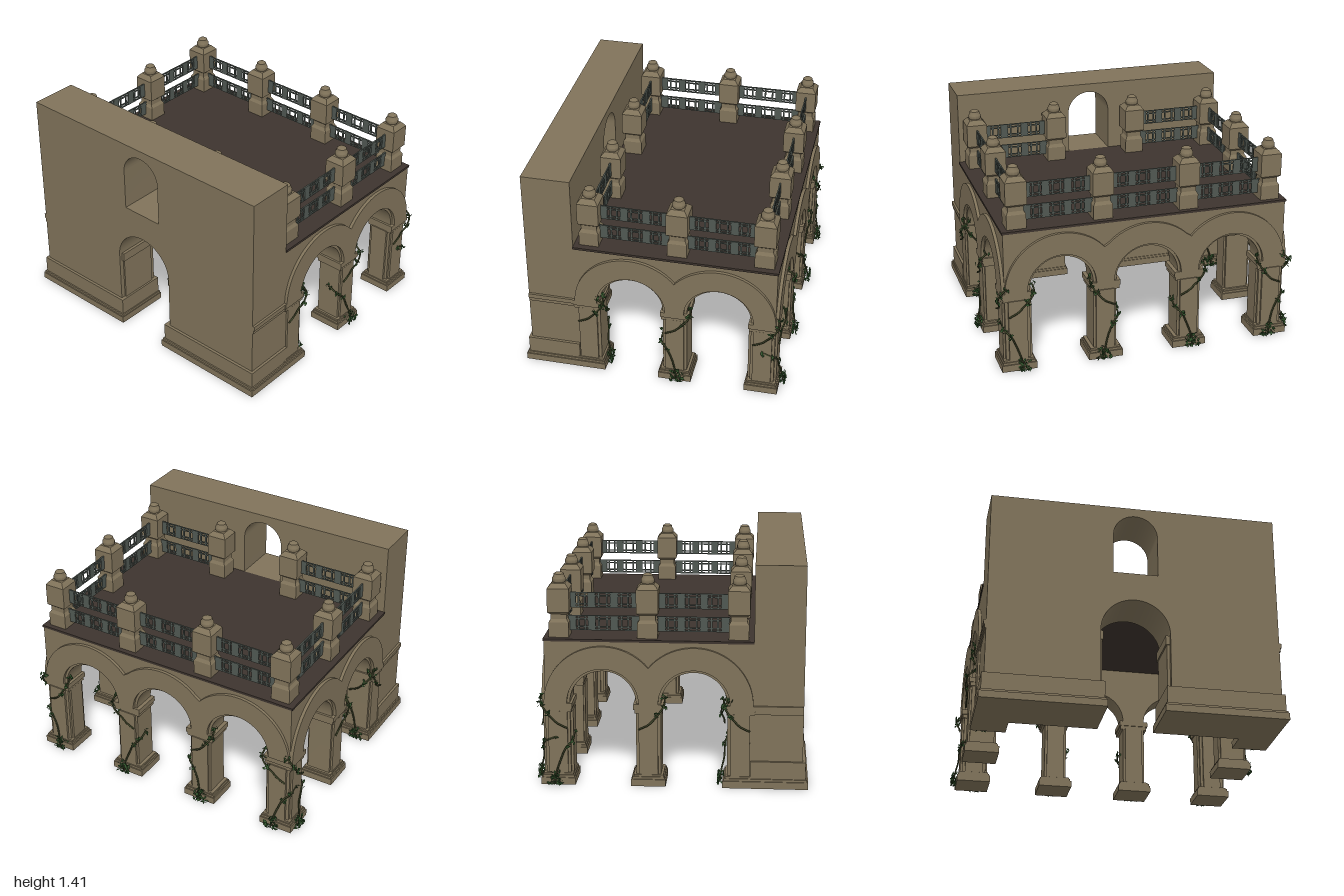
import * as THREE from 'three';
import { mergeGeometries, toCreasedNormals } from 'three/addons/utils/BufferGeometryUtils.js';

const SPRING = 0.53, R_IN = 0.205, R_LIP = 0.222, R_OUT = 0.365, FLOOR = 0.937;

const mat = (name, color) => {
  const m = new THREE.MeshStandardMaterial({ color });
  m.name = name;
  return m;
};

export function createModel() {
  const model = new THREE.Group();
  model.name = 'arcadeTerrace';
  const stone = mat('stone', 0x80735a);
  const floorMat = mat('darkFloor', 0x3d342e);
  const iron = mat('iron', 0x505852);
  const stemMat = mat('vineStem', 0x3f4529);
  const leafMat = mat('leaf', 0x2f5029);
  leafMat.side = THREE.DoubleSide;

  let seed = 7;
  const rnd = () => (seed = (seed * 16807) % 2147483647) / 2147483647;

  const add = (parent, name, geo, material) => {
    const m = new THREE.Mesh(geo, material);
    m.name = name;
    parent.add(m);
    return m;
  };
  // Box given by its limits on each axis
  const box = (x0, x1, y0, y1, z0, z1) =>
    new THREE.BoxGeometry(x1 - x0, y1 - y0, z1 - z0)
      .translate((x0 + x1) / 2, (y0 + y1) / 2, (z0 + z1) / 2);
  // Box centred on a pier
  const block = (x, z, w, d, y0, y1) => box(x - w / 2, x + w / 2, y0, y1, z - d / 2, z + d / 2);
  const extrude = (shape, depth, z) => toCreasedNormals(
    new THREE.ExtrudeGeometry(shape, { depth, bevelEnabled: false, curveSegments: 28 }), 0.6).translate(0, 0, z);

  // Wall outline standing on the ground, with arched openings
  const archedWall = (u0, u1, top, centres, r) => {
    const s = new THREE.Shape();
    s.moveTo(u0, 0);
    for (const c of centres) {
      s.lineTo(c - r, 0);
      s.lineTo(c - r, SPRING);
      s.absarc(c, SPRING, r, Math.PI, 0, true);
      s.lineTo(c + r, 0);
    }
    s.lineTo(u1, 0);
    s.lineTo(u1, top);
    s.lineTo(u0, top);
    s.closePath();
    return s;
  };

  // Raised moulding joining the outer arcs of neighbouring arches
  const moulding = (centres) => {
    const s = new THREE.Shape();
    const a = centres[0] - R_OUT, b = centres[centres.length - 1] + R_OUT;
    s.moveTo(a, SPRING);
    for (const c of centres) {
      s.lineTo(c - R_LIP, SPRING);
      s.absarc(c, SPRING, R_LIP, Math.PI, 0, true);
    }
    s.lineTo(b, SPRING);
    const n = 90;
    for (let i = 1; i < n; i++) {
      const u = (a + b) / 2 + (b - a) / 2 * Math.cos(Math.PI * i / n);
      const h = Math.max(...centres.map(c => R_OUT ** 2 - (u - c) ** 2));
      s.lineTo(u, SPRING + Math.sqrt(Math.max(h, 0)));
    }
    s.closePath();
    return s;
  };

  // Front wall with door and arched window
  const wallShape = archedWall(-0.925, 0.925, 1.412, [0.004], 0.22);
  const win = new THREE.Path();
  win.moveTo(-0.136, FLOOR);
  win.lineTo(0.15, FLOOR);
  win.lineTo(0.15, 1.212);
  win.absarc(0.007, 1.212, 0.143, 0, Math.PI, false);
  win.closePath();
  wallShape.holes.push(win);
  add(model, 'frontWall', extrude(wallShape, 0.31, 0.51), stone);
  for (const s of [-1, 1]) {
    const parts = [
      [0.178, 0.957, 0, 0.045, 0.485, 0.855],
      [0.184, 0.95, 0.045, 0.06, 0.49, 0.847],
      [0.192, 0.942, 0.06, 0.172, 0.495, 0.838],
      [0.205, 0.24, 0.17, 0.47, 0.54, 0.79],
      [0.197, 0.24, 0.47, SPRING, 0.53, 0.8],
      [0.9, 0.933, 0.475, 0.5, 0.5, 0.819],
      [0.9, 0.94, 0.5, SPRING, 0.5, 0.819],
    ].map(([a, b, ...r]) => (s > 0 ? box(a, b, ...r) : box(-b, -a, ...r)));
    add(model, 'wallPlinthAndBands', mergeGeometries(parts), stone);
  }

  // Side and back arcades
  const arcade = (name, centres, u0, u1, face, turn) => {
    const g = new THREE.Group();
    g.name = name;
    g.rotation.y = turn;
    add(g, 'arcadeWall', extrude(archedWall(u0, u1, 0.925, centres, R_IN), 0.16, face - 0.16), stone);
    add(g, 'archMoulding', extrude(moulding(centres), 0.02, face), stone);
    model.add(g);
  };
  arcade('sideArcadeLeft', [-0.145, 0.42], -0.51, 0.78, 0.925, Math.PI / 2);
  arcade('sideArcadeRight', [-0.42, 0.145], -0.78, 0.51, 0.925, -Math.PI / 2);
  arcade('backArcade', [-0.56, 0, 0.56], -0.765, 0.765, 0.78, Math.PI);

  // Pier bases, facings and capitals
  const pier = (x, z, side, back) => {
    const parts = [
      block(x, z, 0.225, 0.215, 0, 0.045),
      block(x, z, 0.21, 0.2, 0.045, 0.06),
      block(x, z, 0.195, 0.185, 0.06, 0.072),
      block(x, z, 0.185, 0.172, 0.47, 0.495),
      block(x, z, 0.2, 0.184, 0.495, SPRING),
    ];
    if (side) parts.push(block(x, z, 0.186, 0.12, 0.07, 0.475));
    if (back) parts.push(block(x, z, 0.12, 0.186, 0.07, 0.475));
    add(model, 'pier', mergeGeometries(parts), stone);
  };
  for (const s of [-1, 1]) {
    pier(s * 0.845, 0.43, true, false);
    pier(s * 0.845, -0.138, true, false);
    pier(s * 0.845, -0.702, true, true);
    pier(s * 0.28, -0.702, false, true);
  }

  // Terrace floor
  add(model, 'terraceFloor', box(-0.932, 0.932, 0.922, FLOOR, -0.785, 0.511), floorMat);

  // Balustrade posts with round finials
  const lathe = (pts, n) => new THREE.LatheGeometry(pts.map(p => new THREE.Vector2(...p)), n);
  const q = Math.SQRT2;
  const postGeo = toCreasedNormals(lathe([
    [0.062, 0.935], [0.062, 1.03], [0.054, 1.042], [0.05, 1.05], [0.05, 1.08], [0.068, 1.095],
    [0.068, 1.242], [0.055, 1.258], [0.042, 1.272], [0, 1.274],
  ].map(([r, y]) => [r * q, y]), 4).rotateY(Math.PI / 4), 0.3);
  const finialGeo = toCreasedNormals(lathe([
    [0.034, 1.27], [0.042, 1.28], [0.042, 1.298], [0.035, 1.308], [0.031, 1.325], [0.02, 1.333], [0, 1.335],
  ], 14), 0.7);
  const posts = [];
  for (const x of [-0.83, -0.28, 0.28, 0.83]) posts.push([x, -0.69], [x, 0.415]);
  posts.push([-0.83, -0.145], [0.83, -0.145]);
  for (const [x, z] of posts) {
    add(model, 'post', postGeo, stone).position.set(x, 0, z);
    add(model, 'finial', finialGeo, stone).position.set(x, 0, z);
  }

  // Iron railing panels: two bands of bars and solid plates
  const railParts = [];
  for (const [y0, y1] of [[0.97, 1.064], [1.114, 1.21]]) {
    for (const y of [y0, y0 + 0.018, y1 - 0.026, y1 - 0.008])
      railParts.push(box(-0.225, 0.225, y, y + 0.008, -0.004, 0.004));
    for (const u of [-0.195, -0.065, 0.075, 0.195])
      railParts.push(box(u - 0.024, u + 0.024, y0, y1, -0.005, 0.005));
    for (const u of [-0.15, -0.11, -0.02, 0.03, 0.115, 0.155])
      railParts.push(box(u - 0.005, u + 0.005, y0, y1, -0.004, 0.004));
  }
  const railGeo = mergeGeometries(railParts);
  const rail = (x, z, turn) => {
    const m = add(model, 'railing', railGeo, iron);
    m.position.set(x, 0, z);
    m.rotation.y = turn;
  };
  for (const x of [-0.555, 0, 0.555]) rail(x, -0.69, 0);
  for (const s of [-1, 1]) {
    rail(s * 0.555, 0.415, 0);
    rail(s * 0.83, 0.135, Math.PI / 2);
    rail(s * 0.83, -0.4175, Math.PI / 2);
  }

  // Climbing vines; local frame: u along the pier face, y up, w outwards
  const leafShape = new THREE.Shape();
  leafShape.moveTo(0, -0.014);
  leafShape.quadraticCurveTo(0.014, 0, 0, 0.016);
  leafShape.quadraticCurveTo(-0.014, 0, 0, -0.014);
  const leafGeo = new THREE.ShapeGeometry(leafShape, 3);
  const clump = (out, [u, y, w], n, spread) => {
    for (let i = 0; i < n; i++) {
      const k = () => (rnd() - 0.5) * 2 * spread;
      out.push(leafGeo.clone().rotateX(k() * 30).rotateY(rnd() * 6).rotateZ(rnd() * 6)
        .translate(u + k(), Math.max(0.016, y + k()), Math.min(0.04, w + k())));
    }
  };
  const BASE = [[-0.02, 0.01, 0.03], [-0.01, 0.08, 0.022], [0.015, 0.16, 0.004], [0.05, 0.24, 0], [0.088, 0.28, -0.02], [0.092, 0.31, -0.09]];
  const UPPER = [[0.06, 0.37, 0.004], [0.0, 0.4, 0.004], [-0.03, 0.43, 0.006], [-0.06, 0.47, 0.02], [-0.1, 0.53, 0.012], [-0.1, 0.57, -0.03]];
  const vine = (x, z, turn, flip, full = true) => {
    const g = new THREE.Group();
    g.name = 'vine';
    g.position.set(x, 0, z);
    g.rotation.y = turn;
    const stems = [], leaves = [];
    for (const path of full ? [BASE, UPPER] : [UPPER]) {
      const pts = path.map(([u, y, w]) => new THREE.Vector3(u * flip, y, w));
      stems.push(new THREE.TubeGeometry(new THREE.CatmullRomCurve3(pts), 24, 0.006, 5));
      pts.slice(3).forEach(p => clump(leaves, p.toArray(), 7, 0.016));
    }
    if (full) {
      clump(leaves, [-0.02 * flip, 0.02, 0.032], 45, 0.045);
      clump(leaves, [-0.015 * flip, 0.07, 0.025], 14, 0.022);
    }
    add(g, 'stems', mergeGeometries(stems), stemMat);
    add(g, 'leaves', mergeGeometries(leaves), leafMat);
    model.add(g);
  };
  const H = Math.PI / 2;
  vine(0.945, -0.138, H, -1);
  vine(0.945, -0.702, H, -1, false);
  vine(0.945, 0.43, H, -1, false);
  vine(-0.945, -0.702, -H, 1);
  vine(-0.945, -0.138, -H, -1, false);
  vine(-0.945, 0.43, -H, 1, false);
  for (const [x, f] of [[-0.845, 1], [-0.28, -1], [0.28, 1], [0.845, -1]]) vine(x, -0.8, 2 * H, f);
  for (const s of [-1, 1]) vine(s * 0.845, 0.335, 2 * H, s);

  return model;
}
